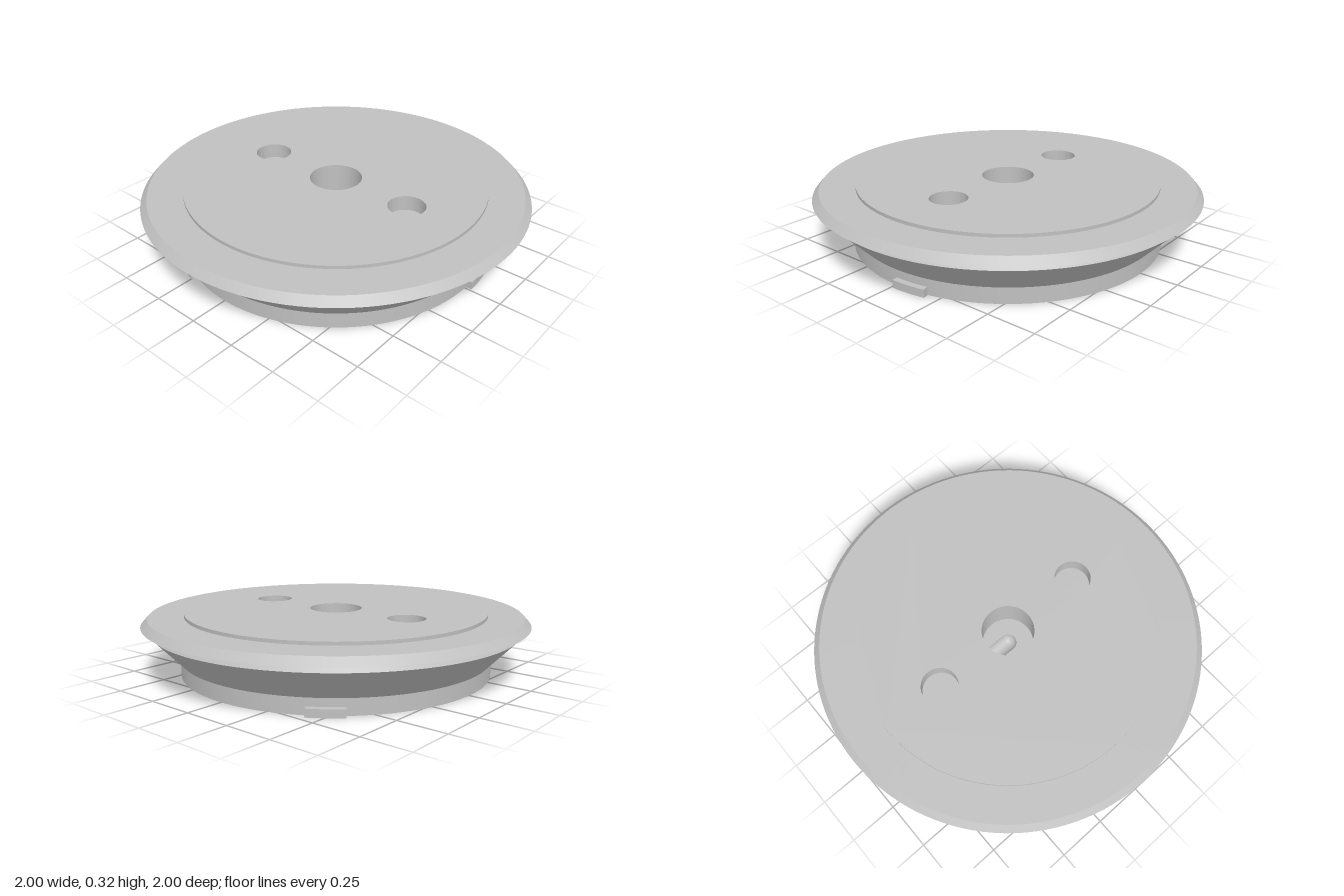
import * as THREE from 'three';
import { toCreasedNormals } from 'three/addons/utils/BufferGeometryUtils.js';

const rad = THREE.MathUtils.degToRad;

// Closed ring sector; angles in degrees run from +x towards +z
function sector(rIn, rOut, a0, a1) {
  const s = new THREE.Shape();
  s.absarc(0, 0, rOut, -rad(a0), -rad(a1), true);
  s.absarc(0, 0, rIn, -rad(a1), -rad(a0), false);
  s.closePath();
  return s;
}

function circle(x, r) {
  return new THREE.Shape().absarc(x, 0, r, 0, Math.PI * 2, false);
}

// Horizontal plate spanning y0 to y1
function plate(shape, y0, y1, holes = []) {
  shape.holes.push(...holes);
  const g = new THREE.ExtrudeGeometry(shape, { depth: y1 - y0, bevelEnabled: false, curveSegments: 64 });
  g.rotateX(-Math.PI / 2);
  g.translate(0, y0, 0);
  return toCreasedNormals(g, 0.5);
}

export function createModel() {
  const group = new THREE.Group();
  const grey = new THREE.MeshStandardMaterial({ color: 0xc0c0c0, side: THREE.DoubleSide });
  grey.name = 'plain grey';

  const add = (name, geometry) => {
    const mesh = new THREE.Mesh(geometry, grey);
    mesh.name = name;
    group.add(mesh);
    return mesh;
  };

  // Base ring with a curved slot in its underside
  add('base', plate(circle(0, 0.81), 0, 0.08, [sector(0.53, 0.635, 130, 180)]));
  add('slotCeiling', new THREE.CircleGeometry(0.8, 64).rotateX(Math.PI / 2).translate(0, 0.079, 0));

  // Flared body, undercut neck and bevelled flange
  const profile = [[0.81, 0.08], [0.955, 0.23], [0.93, 0.265], [1, 0.265], [0.965, 0.303], [0.78, 0.303]]
    .map(([r, y]) => new THREE.Vector2(r, y));
  add('flaredBody', toCreasedNormals(new THREE.LatheGeometry(profile, 128), 0.5));

  // Raised top disc with a centre hole and two side recesses
  const centre = () => circle(0, 0.135);
  add('topDisc', plate(circle(0, 0.785), 0.24, 0.32, [centre(), circle(-0.45, 0.095), circle(0.45, 0.095)]));
  add('recessFloor', plate(circle(0, 0.7), 0.14, 0.24, [centre()]));

  // Centre hole floor with a round-ended opening for the channel
  const r = 0.045, floorY = 0.14;
  const opening = new THREE.Shape();
  opening.moveTo(-0.136, -r);
  opening.lineTo(0, -r);
  opening.absarc(0, 0, r, -Math.PI / 2, Math.PI / 2, false);
  opening.lineTo(-0.136, r);
  opening.closePath();
  const floor = circle(0, 0.15);
  floor.holes.push(opening);
  add('centreFloor', new THREE.ShapeGeometry(floor, 48).rotateX(-Math.PI / 2).translate(0, floorY, 0));

  // Half-round cable channel and its rounded end
  add('channel', new THREE.CylinderGeometry(r, r, 0.136, 24, 1, true, Math.PI, Math.PI)
    .rotateZ(Math.PI / 2).translate(-0.068, floorY, 0));
  add('channelEnd', new THREE.SphereGeometry(r, 24, 12, Math.PI / 2, Math.PI, Math.PI / 2, Math.PI / 2)
    .translate(0, floorY, 0));

  // Three locking tabs around the base
  for (let i = 0; i < 3; i++) {
    const a = -13 + i * 120;
    add('lockingTab', plate(sector(0.8, 0.84, a, a + 12.3), 0, 0.04));
  }

  return group;
}
